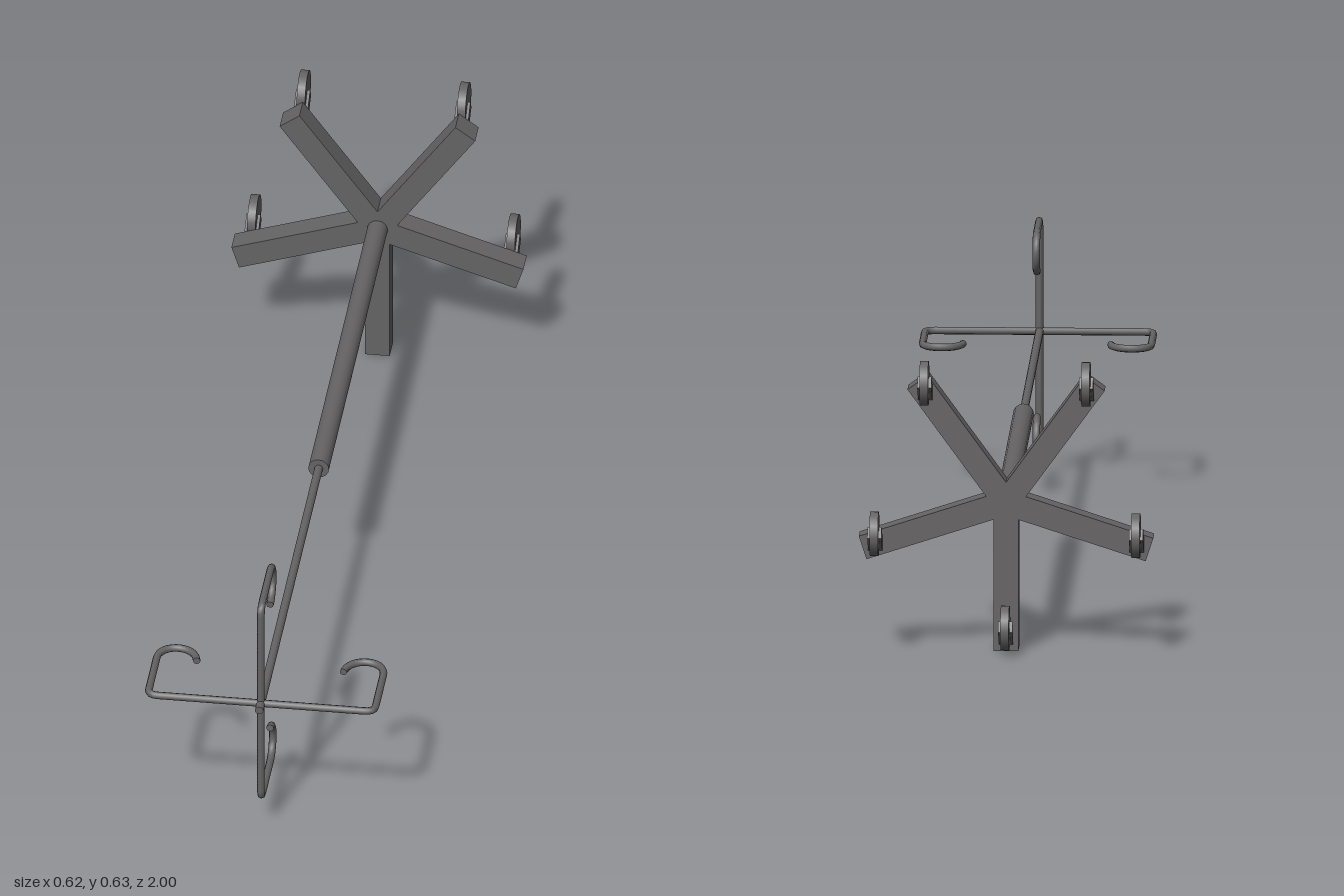
import * as THREE from 'three';

const AXIS_Y = 0.318;

export function createModel() {
  const model = new THREE.Group();
  model.name = 'wheeledHookStand';
  const metal = new THREE.MeshStandardMaterial({ color: 0x666464 });
  metal.name = 'dark grey metal';

  const add = (parent, name, geometry, x = 0, y = 0, z = 0) => {
    const mesh = new THREE.Mesh(geometry, metal);
    mesh.name = name;
    mesh.position.set(x, y, z);
    parent.add(mesh);
    return mesh;
  };

  // Telescoping pole along z
  const rod = (name, radius, z0, z1) => {
    const geometry = new THREE.CylinderGeometry(radius, radius, z1 - z0, 16).rotateX(Math.PI / 2);
    add(model, name, geometry, 0, AXIS_Y, (z0 + z1) / 2);
  };
  rod('outerPole', 0.022, -0.87, 0.07);
  rod('innerPole', 0.009, 0.05, 1);

  // Five-legged base, each leg with a caster trailing upwards
  for (let i = 0; i < 5; i++) {
    const angle = -Math.PI / 2 + i * Math.PI * 2 / 5;
    const c = Math.cos(angle), s = Math.sin(angle);
    const leg = add(model, 'leg', new THREE.BoxGeometry(0.318, 0.052, 0.053),
      c * 0.159, AXIS_Y + s * 0.159, -0.875);
    leg.rotation.z = angle;

    const caster = new THREE.Group();
    caster.name = 'caster';
    caster.position.set(c * 0.29, AXIS_Y + s * 0.29, -0.9);
    model.add(caster);
    const fork = add(caster, 'casterFork', new THREE.BoxGeometry(0.03, 0.026, 0.066), 0, 0.014, -0.02);
    fork.rotation.x = 0.6;
    add(caster, 'wheel', new THREE.CylinderGeometry(0.047, 0.047, 0.018, 24).rotateZ(Math.PI / 2),
      0, 0.031, -0.05);
  }

  // Hook path: straight arm, tight bend, return run and inward curl
  const p = (x, z) => new THREE.Vector3(x, 0, z);
  const path = new THREE.CurvePath();
  path.add(new THREE.LineCurve3(p(0, 0.971), p(0.22, 0.971)));
  path.add(new THREE.QuadraticBezierCurve3(p(0.22, 0.971), p(0.241, 0.971), p(0.241, 0.95)));
  path.add(new THREE.LineCurve3(p(0.241, 0.95), p(0.241, 0.83)));
  path.add(new THREE.CubicBezierCurve3(p(0.241, 0.83), p(0.241, 0.772), p(0.162, 0.772), p(0.156, 0.83)));
  const tube = new THREE.TubeGeometry(path, 56, 0.008, 8);

  // End cap faces along the tip of the curl
  const cap = new THREE.CircleGeometry(0.008, 8);
  const tip = path.getTangent(1);

  for (let i = 0; i < 4; i++) {
    const hook = new THREE.Group();
    hook.name = 'hook';
    hook.position.y = AXIS_Y;
    hook.rotation.z = i * Math.PI / 2;
    model.add(hook);
    add(hook, 'hookWire', tube);
    const end = add(hook, 'hookTip', cap, 0.156, 0, 0.83);
    end.quaternion.setFromUnitVectors(new THREE.Vector3(0, 0, 1), tip);
  }
  return model;
}
